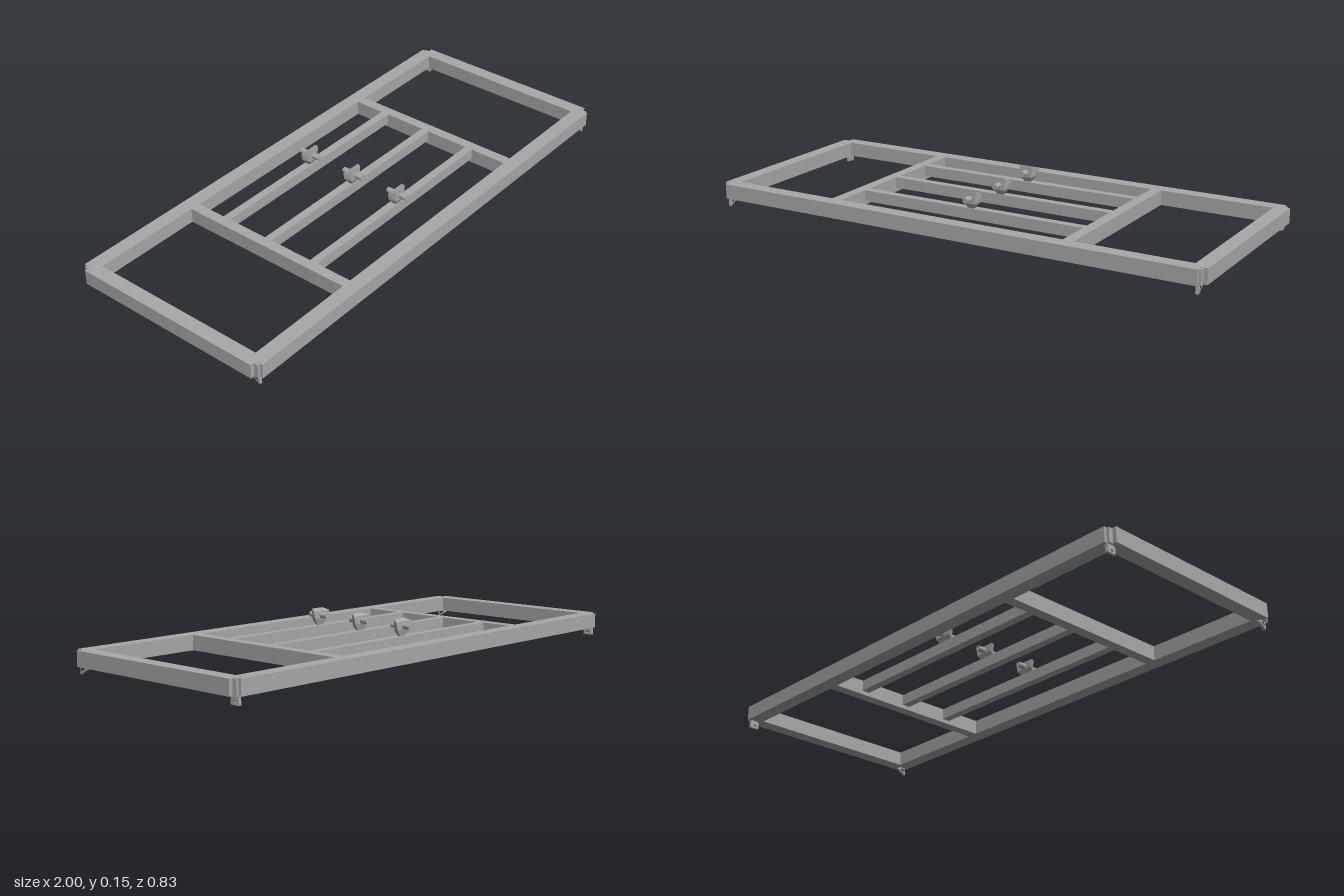
import * as THREE from 'three';
import { ConvexGeometry } from 'three/addons/geometries/ConvexGeometry.js';

const steel = new THREE.MeshStandardMaterial({ color: 0xa8a8a8 });
steel.name = 'steel grey';

export function createModel() {
  const group = new THREE.Group();

  const add = (name, geometry, x = 0, y = 0, z = 0) => {
    const mesh = new THREE.Mesh(geometry, steel);
    mesh.name = name;
    mesh.position.set(x, y, z);
    group.add(mesh);
    return mesh;
  };
  // Box given by its limits on each axis
  const bar = (name, x0, x1, y0, y1, z0, z1) =>
    add(name, new THREE.BoxGeometry(x1 - x0, y1 - y0, z1 - z0),
      (x0 + x1) / 2, (y0 + y1) / 2, (z0 + z1) / 2);

  const bottom = 0.035, top = 0.092;

  // Outer frame: long rails, end rails and the small corner blocks between them
  for (const s of [-1, 1]) {
    const side = s > 0 ? 'front' : 'back';
    const end = s > 0 ? 'left' : 'right';
    bar(`${side}Rail`, -0.975, 0.975, bottom, top, s * 0.385 - 0.028, s * 0.385 + 0.028);
    bar(`${end}EndRail`, s * 0.9725 - 0.0275, s * 0.9725 + 0.0275, bottom, top, -0.385, 0.385);
    for (const t of [-1, 1]) {
      bar('cornerBlock', s * 0.977 - 0.008, s * 0.977 + 0.008, bottom, top - 0.002,
        t * 0.39 - 0.012, t * 0.39 + 0.012);
    }
  }

  // Cross members and the slats between them
  bar('rightCrossMember', -0.508, -0.467, bottom, top, -0.36, 0.36);
  bar('leftCrossMember', 0.46, 0.502, bottom, top, -0.36, 0.36);
  const slats = [-0.219, -0.017, 0.193];
  for (const z of slats) bar('slat', -0.47, 0.464, 0.05, top, z - 0.016, z + 0.016);

  // Faceted wedge with a flat back, tapered down to a narrow foot
  const wedgePoints = [];
  for (const s of [-1, 1]) {
    for (const [x, y, z] of [
      [0.028, 0.155, 0.012], [0.042, 0.147, -0.012], [0.036, 0.118, -0.013],
      [0.015, 0.092, -0.006], [0.012, 0.092, 0.005], [0.022, 0.11, 0.013],
    ]) wedgePoints.push(new THREE.Vector3(s * x, y, z));
  }
  const wedge = new ConvexGeometry(wedgePoints);
  const pin = new THREE.CylinderGeometry(0.011, 0.011, 0.087, 16).rotateX(Math.PI / 2);
  for (const z of [0.199, -0.01, -0.217]) {
    add('wedge', wedge, 0, 0, z);
    add('pin', pin, 0, 0.129, z);
  }

  // Small corner feet: thin plates in the z-y plane with a triangular opening
  const footGeometry = (points, hole) => {
    const shape = new THREE.Shape(points.map(([z, y]) => new THREE.Vector2(z, y)));
    shape.holes.push(new THREE.Path(hole.map(([z, y]) => new THREE.Vector2(z, y))));
    const g = new THREE.ExtrudeGeometry(shape, { depth: 0.012, bevelEnabled: false });
    return g.translate(0, 0, -0.006).rotateY(-Math.PI / 2);
  };
  const frontFoot = footGeometry(
    [[0.4, 0.003], [0.363, 0.025], [0.385, 0.045], [0.397, 0.048]],
    [[0.392, 0.016], [0.374, 0.026], [0.391, 0.033]]);
  const backFoot = footGeometry(
    [[-0.402, 0.005], [-0.366, 0.005], [-0.366, 0.03], [-0.39, 0.046], [-0.402, 0.046]],
    [[-0.391, 0.012], [-0.374, 0.012], [-0.383, 0.021]]);
  for (const s of [-1, 1]) {
    add('frontFoot', frontFoot, s * 0.971);
    add('backFoot', backFoot, s * 0.971);
  }

  return group;
}
